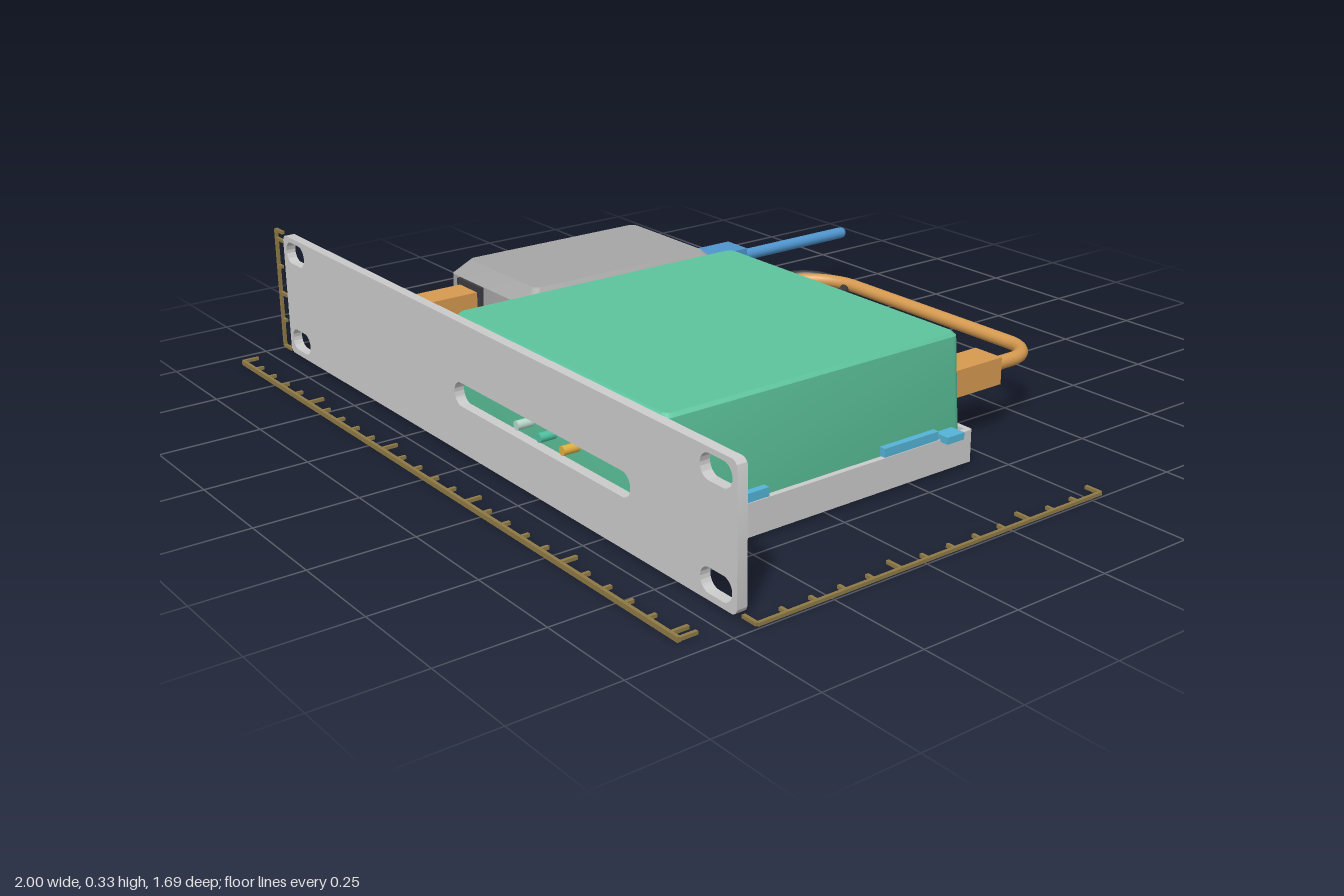
import * as THREE from 'three';
import { toCreasedNormals } from 'three/addons/utils/BufferGeometryUtils.js';

const mat = (color) => new THREE.MeshStandardMaterial({ color });
const GREY = mat(0xcccccc), DEVICE = mat(0xa6a6a6), GREEN = mat(0x5cc49c), CYAN = mat(0x55b4d6);
const ORANGE = mat(0xd69a50), BLUE = mat(0x4f96cf), DARK = mat(0x3c3c3f), RULE = mat(0x8f7a45);

function add(parent, name, geometry, material) {
  const mesh = new THREE.Mesh(geometry, material);
  mesh.name = name;
  parent.add(mesh);
  return mesh;
}

// Box given by its limits on each axis
function box(parent, name, material, [x0, x1], [y0, y1], [z0, z1]) {
  const mesh = add(parent, name, new THREE.BoxGeometry(x1 - x0, y1 - y0, z1 - z0), material);
  mesh.position.set((x0 + x1) / 2, (y0 + y1) / 2, (z0 + z1) / 2);
  return mesh;
}

// Cylinder along z
function rod(parent, name, material, r, x, y, z0, z1) {
  const geo = new THREE.CylinderGeometry(r, r, Math.abs(z1 - z0), 20).rotateX(Math.PI / 2);
  add(parent, name, geo, material).position.set(x, y, (z0 + z1) / 2);
}

// Rounded rectangle outline
function roundRect(cx, cy, w, h, r, Type = THREE.Shape) {
  const p = new Type(), a = w / 2 - r, b = h / 2 - r;
  p.absarc(cx + a, cy + b, r, 0, Math.PI / 2);
  p.absarc(cx - a, cy + b, r, Math.PI / 2, Math.PI);
  p.absarc(cx - a, cy - b, r, Math.PI, Math.PI * 1.5);
  p.absarc(cx + a, cy - b, r, Math.PI * 1.5, Math.PI * 2);
  p.closePath();
  return p;
}

// Solid skinned through rounded rectangles stacked in y: [y, inset]
function loft(w, d, r, sections) {
  const pos = [], index = [];
  const S = 5, n = 4 * S;
  for (const [y, inset] of sections) {
    for (let c = 0; c < 4; c++) for (let i = 0; i < S; i++) {
      const a = (c + i / (S - 1)) * Math.PI / 2;
      const sx = c === 0 || c === 3 ? 1 : -1, sz = c < 2 ? 1 : -1;
      pos.push(sx * (w / 2 - inset - r) + r * Math.cos(a), y, sz * (d / 2 - inset - r) + r * Math.sin(a));
    }
  }
  for (let k = 0; k < sections.length - 1; k++) for (let i = 0; i < n; i++) {
    const a = k * n + i, b = k * n + (i + 1) % n;
    index.push(a, a + n, b, b, a + n, b + n);
  }
  const top = (sections.length - 1) * n;
  for (let i = 1; i < n - 1; i++) index.push(0, i, i + 1, top, top + i + 1, top + i);
  const geo = new THREE.BufferGeometry();
  geo.setAttribute('position', new THREE.Float32BufferAttribute(pos, 3));
  geo.setIndex(index);
  return toCreasedNormals(geo, 0.45);
}

// Tray with honeycomb floor, side walls and corner returns
function tray(parent, name, [x0, x1], [z0, z1], y, floor, wall, lip, pitch, border) {
  const g = new THREE.Group();
  g.name = name;
  parent.add(g);
  const shape = roundRect((x0 + x1) / 2, -(z0 + z1) / 2, x1 - x0, z1 - z0, 0.015);
  const rad = pitch * 0.5, rowStep = pitch * 0.866;
  const rows = Math.floor((z1 - z0 - 2 * border - 2 * rad) / rowStep);
  const cols = Math.floor((x1 - x0 - 2 * border - pitch) / pitch);
  for (let j = 0; j <= rows; j++) for (let i = 0; i <= cols - (j % 2); i++) {
    const cx = (x0 + x1) / 2 + (i - cols / 2 + (j % 2) / 2) * pitch;
    const cy = -(z0 + z1) / 2 + (j - rows / 2) * rowStep;
    const pts = [0, 1, 2, 3, 4, 5].map((k) => {
      const a = Math.PI / 6 + k * Math.PI / 3;
      return new THREE.Vector2(cx + rad * Math.cos(a), cy + rad * Math.sin(a));
    });
    shape.holes.push(new THREE.Path(pts));
  }
  const geo = new THREE.ExtrudeGeometry(shape, { depth: floor, bevelEnabled: false, curveSegments: 4 });
  add(g, name + 'Floor', geo.rotateX(-Math.PI / 2), GREY).position.y = y;
  const t = 0.014, c = 0.07;
  for (const [a, b] of [[x0, x0 + t], [x1 - t, x1]]) box(g, 'sideWall', GREY, [a, b], [y, wall], [z0 + 0.005, z1 - 0.005]);
  for (const [a, b] of [[z0, z0 + t], [z1 - t, z1]]) {
    box(g, 'endLip', GREY, [x0 + 0.01, x1 - 0.01], [y, lip], [a, b]);
    for (const s of [x0 + 0.005, x1 - c - 0.005]) box(g, 'cornerReturn', GREY, [s, s + c], [y, wall], [a, b]);
  }
}

// Tube through [x, z] corner points at one height, corners rounded
function cable(parent, name, material, radius, y, bend, points) {
  const v = points.map(([x, z]) => new THREE.Vector3(x, y, z));
  const path = new THREE.CurvePath();
  let last = v[0];
  for (let i = 1; i < v.length - 1; i++) {
    const r = Math.min(bend, v[i].distanceTo(v[i - 1]) * 0.5, v[i].distanceTo(v[i + 1]) * 0.5);
    const toward = (q, k) => v[i].clone().addScaledVector(q.clone().sub(v[i]).normalize(), k);
    const a = toward(v[i - 1], r), b = toward(v[i + 1], r);
    if (last.distanceTo(a) > 1e-4) path.add(new THREE.LineCurve3(last, a));
    path.add(new THREE.CubicBezierCurve3(a, toward(v[i - 1], r * 0.448), toward(v[i + 1], r * 0.448), b));
    last = b;
  }
  path.add(new THREE.LineCurve3(last, v[v.length - 1]));
  add(parent, name, new THREE.TubeGeometry(path, 240, radius, 14), material);
}

// Scale bar along local +x with ticks on local +y
function ruler(name, length, majorEvery, along, inward, origin) {
  const g = new THREE.Group(), t = 0.008, step = 0.0746;
  g.name = name;
  box(g, 'rulerLine', RULE, [0, length], [-t / 2, t / 2], [-t / 2, t / 2]);
  const tick = (s, h) => box(g, 'rulerTick', RULE, [s - t / 2, s + t / 2], [0, h], [-t / 2, t / 2]);
  for (let i = 0; i * step < length; i++) tick(i * step, i % majorEvery ? 0.022 : 0.042);
  tick(length, 0.042);
  const X = new THREE.Vector3(...along), Y = new THREE.Vector3(...inward);
  g.quaternion.setFromRotationMatrix(new THREE.Matrix4().makeBasis(X, Y, X.clone().cross(Y)));
  g.position.set(...origin);
  return g;
}

export function createModel() {
  const model = new THREE.Group();
  model.name = 'rackShelf';

  // Front panel with four mounting slots and a window
  const face = roundRect(0.004, 0.168, 1.892, 0.322, 0.018);
  for (const x of [-0.877, 0.885]) for (const y of [0.05, 0.288]) face.holes.push(roundRect(x, y, 0.1, 0.056, 0.0279, THREE.Path));
  face.holes.push(roundRect(0.26, 0.153, 0.69, 0.058, 0.0285, THREE.Path));
  const panel = new THREE.ExtrudeGeometry(face, { depth: 0.025, bevelEnabled: false, curveSegments: 8 });
  add(model, 'frontPanel', toCreasedNormals(panel, 0.5), GREY).position.z = 0.677;

  // Trays and the pieces joining them
  tray(model, 'largeTray', [-0.172, 0.694], [-0.187, 0.68], 0.007, 0.025, 0.085, 0.045, 0.096, 0.035);
  tray(model, 'smallTray', [-0.737, -0.302], [-0.28, 0.365], 0.05, 0.018, 0.12, 0.08, 0.07, 0.03);
  for (const z of [-0.118, 0.28]) {
    box(model, 'trayLink', GREY, [-0.305, -0.17], [0.05, 0.066], [z - 0.05, z + 0.05]);
    for (const s of [-0.045, 0.045]) box(model, 'trayLinkRib', GREY, [-0.305, -0.17], [0.05, 0.085], [z + s - 0.006, z + s + 0.006]);
  }
  box(model, 'panelArm', GREY, [-0.555, -0.48], [0.05, 0.066], [0.355, 0.68]);
  for (const x of [-0.555, -0.492]) box(model, 'panelArmRib', GREY, [x, x + 0.012], [0.05, 0.12], [0.355, 0.68]);

  // Green enclosure, slightly tapered
  add(model, 'greenEnclosure', loft(0.836, 0.834, 0.018,
    [[0.034, 0.008], [0.08, 0], [0.31, 0.009], [0.318, 0.016]]), GREEN).position.set(0.258, 0, 0.25);

  // Clips holding the enclosure
  for (const [outer, inner] of [[0.692, 0.664], [-0.17, -0.148]]) {
    const xs = [Math.min(outer, inner), Math.max(outer, inner)];
    for (const [a, b] of [[-0.08, 0.083], [0.41, 0.558]]) box(model, 'sideClip', CYAN, xs, [0.083, 0.106], [a, b]);
    const s = Math.sign(outer);
    const tab = [outer - s * 0.02, outer + s * 0.024].sort((a, b) => a - b);
    box(model, 'rearTab', CYAN, tab, [0.08, 0.097], [-0.137, -0.085]);
  }
  for (const x of [-0.17, 0.58]) box(model, 'frontClip', CYAN, [x, x + 0.11], [0.083, 0.106], [0.655, 0.675]);

  // Indicator lights
  [0xb9d8cc, 0x4fc0a0, 0xe0b040].forEach((c, i) => rod(model, 'indicatorLight', mat(c), 0.011, 0.18 + i * 0.09, 0.153, 0.655, 0.704));

  // Ports on the back of the enclosure
  const port = (x, w, y0, y1, z) => box(model, 'port', DARK, [x - w / 2, x + w / 2], [y0, y1], [z - 0.012, z + 0.012]);
  port(0.09, 0.12, 0.13, 0.235, -0.164);
  port(0.255, 0.11, 0.135, 0.185, -0.164);
  port(0.435, 0.11, 0.14, 0.162, -0.164);
  port(0.572, 0.115, 0.125, 0.235, -0.164);

  // Grey adapter with bevelled top
  add(model, 'greyAdapter', loft(0.4, 0.61, 0.018,
    [[0.066, 0.006], [0.075, 0], [0.213, 0.003], [0.252, 0.038]]), DEVICE).position.set(-0.515, 0, 0.04);
  port(-0.483, 0.11, 0.115, 0.212, -0.262);
  port(-0.625, 0.07, 0.13, 0.17, -0.262);
  port(-0.605, 0.115, 0.115, 0.212, 0.34);
  rod(model, 'powerSocket', DARK, 0.038, -0.44, 0.16, 0.335, 0.35);

  // Blue network lead
  box(model, 'bluePlug', BLUE, [-0.525, -0.44], [0.13, 0.197], [-0.445, -0.265]);
  rod(model, 'blueCable', BLUE, 0.016, -0.483, 0.163, -0.83, -0.44);
  const tip = add(model, 'blueCableTip', new THREE.SphereGeometry(0.016, 14, 10), BLUE);
  tip.position.set(-0.483, 0.163, -0.83);

  // Orange patch lead
  box(model, 'orangePlugRear', ORANGE, [0.529, 0.614], [0.13, 0.197], [-0.357, -0.165]);
  box(model, 'orangePlugFront', ORANGE, [-0.648, -0.563], [0.13, 0.197], [0.345, 0.528]);
  cable(model, 'orangeCable', ORANGE, 0.017, 0.163, 0.16,
    [[0.572, -0.35], [0.572, -0.52], [-0.236, -0.52], [-0.236, 0.65], [-0.605, 0.65], [-0.605, 0.52]]);

  // Black power lead
  rod(model, 'powerPlugRear', DARK, 0.03, -0.075, 0.16, -0.335, -0.16);
  rod(model, 'powerPlugFront', DARK, 0.03, -0.44, 0.16, 0.34, 0.505);
  cable(model, 'powerCable', DARK, 0.012, 0.155, 0.085,
    [[-0.075, -0.33], [-0.075, -0.53], [-0.278, -0.53], [-0.278, 0.58], [-0.44, 0.58], [-0.44, 0.5]]);

  // Measuring scales
  model.add(ruler('widthRuler', 1.892, 5, [1, 0, 0], [0, 0, -1], [-0.942, 0.008, 0.84]));
  model.add(ruler('heightRuler', 0.322, 2, [0, 1, 0], [1, 0, 0], [-0.996, 0.007, 0.695]));
  model.add(ruler('depthRuler', 0.97, 5, [0, 0, -1], [-1, 0, 0], [0.996, 0.008, 0.69]));
  box(model, 'standPad', RULE, [-0.942, 0.95], [0, 0.008], [0.836, 0.844]);
  return model;
}
